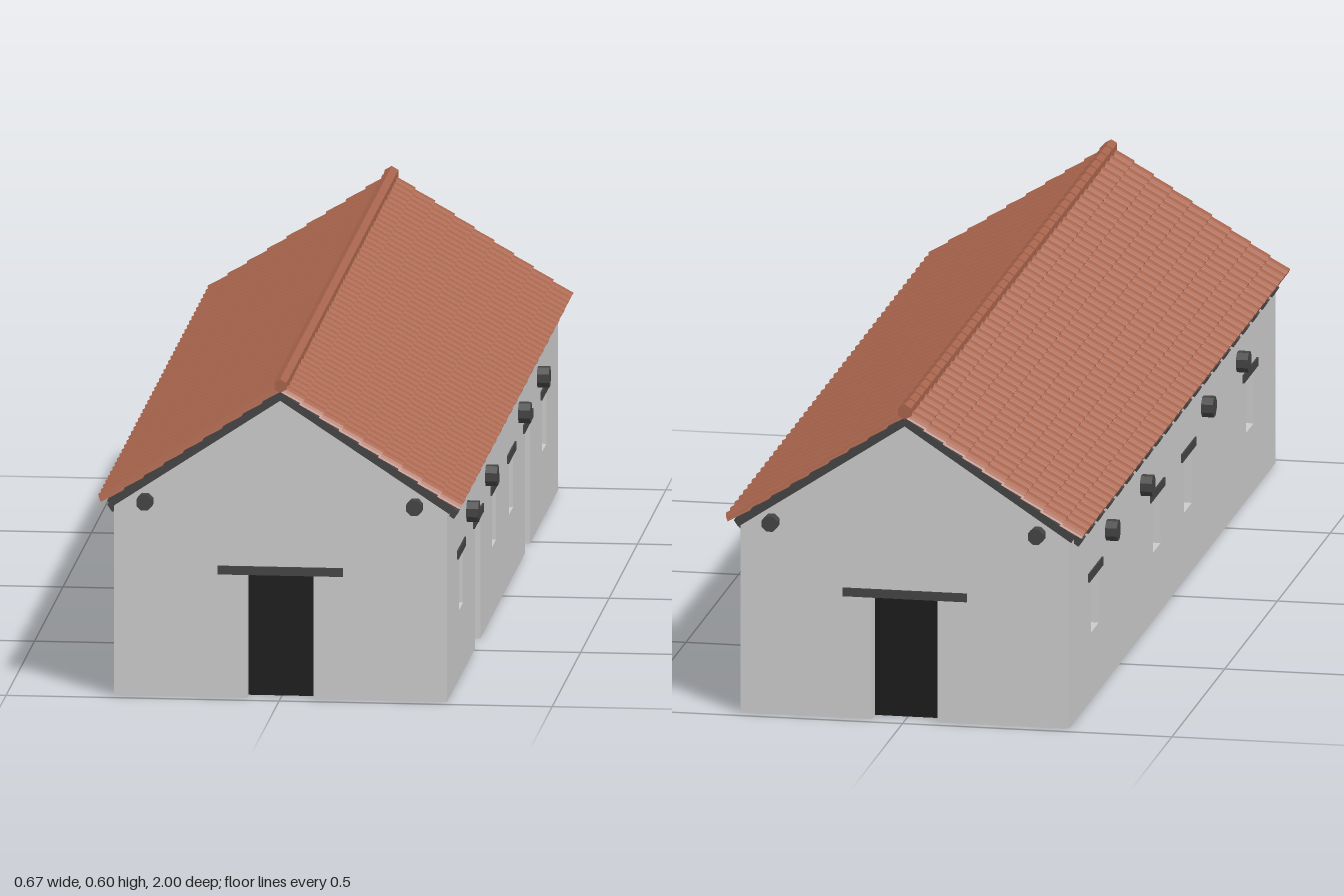
import * as THREE from 'three';

const HALF_W = 0.305, HALF_L = 0.978, EAVE = 0.357, PEAK = 0.557;
const PITCH = Math.atan(0.656);
const mat = (color, side = THREE.FrontSide) =>
  new THREE.MeshStandardMaterial({ color, side, flatShading: true, roughness: 0.9 });
const plaster = mat(0xcccccc, THREE.DoubleSide);
const timber = mat(0x444444);
const dark = mat(0x1c1c1c, THREE.DoubleSide);
const clay = mat(0xa8644c);

function add(parent, name, geometry, material, x = 0, y = 0, z = 0) {
  const mesh = new THREE.Mesh(geometry, material);
  mesh.name = name;
  mesh.position.set(x, y, z);
  parent.add(mesh);
  return mesh;
}

const box = (w, h, d) => new THREE.BoxGeometry(w, h, d);

// Recessed opening: jambs, head, sill, dark panel and lintel; wall plane is z = 0
function opening(parent, name, { x, y0, y1, w, lintel }) {
  const g = new THREE.Group();
  g.name = name;
  g.position.x = x;
  parent.add(g);
  const depth = 0.03, h = y1 - y0, mid = (y0 + y1) / 2;
  for (const s of [-1, 1]) {
    add(g, 'jamb', new THREE.PlaneGeometry(depth, h), plaster, s * w / 2, mid, -depth / 2)
      .rotation.y = -s * Math.PI / 2;
  }
  for (const y of y0 > 0 ? [y0, y1] : [y1]) {
    add(g, y === y1 ? 'head' : 'sill', new THREE.PlaneGeometry(w, depth), plaster, 0, y, -depth / 2)
      .rotation.x = y === y1 ? Math.PI / 2 : -Math.PI / 2;
  }
  add(g, 'panel', new THREE.PlaneGeometry(w, h), dark, 0, mid, -depth);
  add(g, 'lintel', box(lintel, 0.016, 0.033), timber, 0, 0.237, -0.0135);
}

// Thin wall facing +z, with door notches, window holes and round beam ends
function wall(name, half, peak, doors, windows, beams) {
  const g = new THREE.Group();
  g.name = name;
  const shape = new THREE.Shape();
  shape.moveTo(-half, 0);
  for (const d of doors) {
    const a = d.x - d.w / 2, b = d.x + d.w / 2;
    shape.lineTo(a, 0);
    shape.lineTo(a, d.y1);
    shape.lineTo(b, d.y1);
    shape.lineTo(b, 0);
  }
  shape.lineTo(half, 0);
  shape.lineTo(half, EAVE);
  if (peak) shape.lineTo(0, peak);
  shape.lineTo(-half, EAVE);
  shape.closePath();
  for (const v of windows) {
    const a = v.x - v.w / 2, b = v.x + v.w / 2;
    shape.holes.push(new THREE.Path([[a, v.y0], [a, v.y1], [b, v.y1], [b, v.y0]]
      .map(p => new THREE.Vector2(...p))));
  }
  add(g, 'wallSurface', new THREE.ShapeGeometry(shape), plaster);
  doors.forEach(d => opening(g, 'door', d));
  windows.forEach(v => opening(g, 'window', v));
  for (const b of beams) {
    const geo = new THREE.CylinderGeometry(b.r, b.r, 0.027, 8);
    geo.rotateY(Math.PI / 8).rotateX(Math.PI / 2);
    add(g, 'beamEnd', geo, timber, b.x, b.y, 0.0085);
  }
  return g;
}

// One course of barrel tiles, running down the slope along +x
function tileCourse(length) {
  const columns = 48, half = 0.98, step = 2 * half / columns;
  const shape = new THREE.Shape();
  shape.moveTo(-half, 0);
  for (let c = 0; c < columns; c++) {
    for (let k = 0; k <= 6; k++) {
      const a = Math.PI * k / 6;
      shape.lineTo(-half + step * (c + 0.5 - 0.44 * Math.cos(a)), 0.003 + 0.01 * Math.sin(a));
    }
  }
  shape.lineTo(half, 0);
  shape.closePath();
  const geo = new THREE.ExtrudeGeometry(shape, { depth: length, bevelEnabled: false });
  return geo.rotateY(Math.PI / 2);
}

export function createModel() {
  const model = new THREE.Group();
  model.name = 'longHouse';

  // Gable walls with a door each
  for (const s of [1, -1]) {
    const gable = wall(s > 0 ? 'frontWall' : 'backWall', HALF_W, PEAK,
      [{ x: 0, y0: 0, y1: 0.229, w: 0.122, lintel: 0.23 }], [],
      [-0.247, 0.247].map(x => ({ x, y: 0.363, r: 0.0155 })));
    gable.position.z = s * HALF_L;
    gable.rotation.y = s > 0 ? 0 : Math.PI;
    model.add(gable);
  }

  // Long walls: windows on both, doors on the +x side only
  for (const s of [1, -1]) {
    const doors = s > 0
      ? [-0.438, 0.438].map(x => ({ x, y0: 0, y1: 0.229, w: 0.096, lintel: 0.16 })) : [];
    const windows = [-0.733, -0.148, 0.148, 0.733]
      .map(x => ({ x, y0: 0.128, y1: 0.229, w: 0.072, lintel: 0.132 }));
    const side = wall(s > 0 ? 'leftWall' : 'rightWall', HALF_L, 0, doors, windows,
      [-0.62, -0.29, 0.29, 0.62].map(x => ({ x, y: 0.283, r: 0.02 })));
    side.position.x = s * HALF_W;
    side.rotation.y = s * Math.PI / 2;
    model.add(side);
  }

  // Roof deck: a mitred chevron along the whole length
  const chevron = new THREE.Shape([[0, 0.57], [-0.317, 0.362], [-0.309, 0.35], [0, 0.554],
    [0.309, 0.35], [0.317, 0.362]].map(p => new THREE.Vector2(...p)));
  const deck = new THREE.ExtrudeGeometry(chevron, { depth: 1.96, bevelEnabled: false });
  add(model, 'roofDeck', deck, timber, 0, 0, -0.98);

  // Both slopes: overlapping tile courses and rafter tails
  const rows = 9, pitchStep = 0.0432;
  const course = tileCourse(0.047);
  const tail = box(0.093, 0.016, 0.027);
  for (const s of [1, -1]) {
    const half = new THREE.Group();
    half.name = s > 0 ? 'leftRoofSlope' : 'rightRoofSlope';
    half.rotation.y = s > 0 ? 0 : Math.PI;
    const slope = new THREE.Group();
    slope.name = 'slope';
    slope.position.y = 0.57;
    slope.rotation.z = -PITCH;
    half.add(slope);
    model.add(half);
    for (let i = 0; i < rows; i++) {
      add(slope, 'tileCourse', course, clay, i * pitchStep - 0.002, 0, 0).rotation.z = 0.08;
    }
    for (let i = -10; i <= 10; i++) {
      add(slope, 'rafterTail', tail, timber, 0.3465, -0.0205, i * 0.0917);
    }
  }

  // Ridge: a row of slightly tapered caps
  const caps = 40, capStep = 1.96 / caps;
  const cap = new THREE.CylinderGeometry(0.0125, 0.0145, capStep, 6).rotateX(Math.PI / 2);
  for (let i = 0; i < caps; i++) {
    add(model, 'ridgeCap', cap, clay, 0, 0.581, -0.98 + (i + 0.5) * capStep);
  }
  return model;
}
